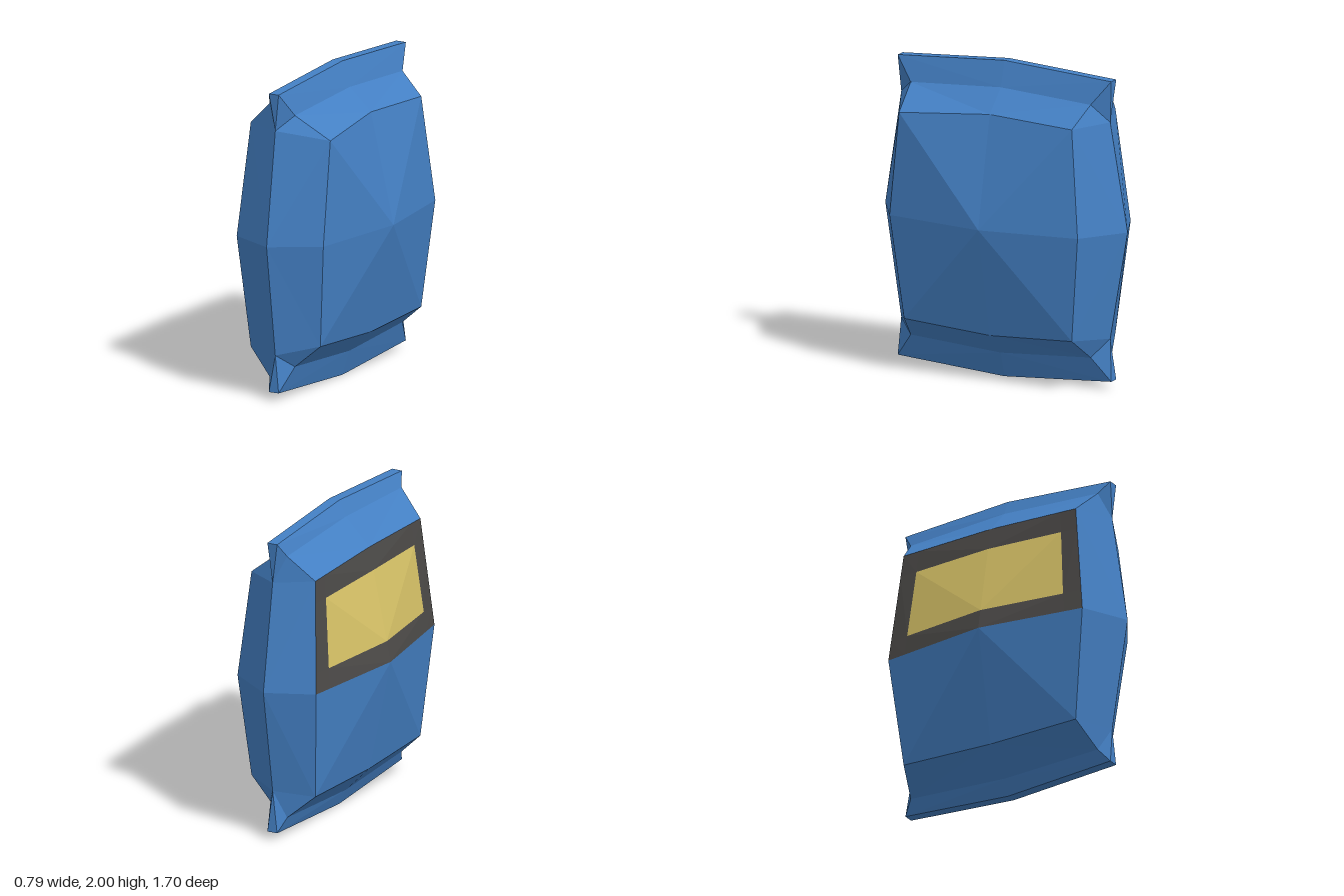
import * as THREE from 'three';

const vec = (x, y, z) => new THREE.Vector3(x, y, z);

// A ring runs: front tip, left front, left middle, left back,
// back tip, right back, right middle, right front.
function makeRing(frontTip, left, backTip, right) {
  return [frontTip, ...left, backTip, ...right];
}

// Widest line around the middle of the pouch
const waist = makeRing(
  vec(-0.03, 1, 0.85), [vec(0.27, 1, 0.67), vec(0.39, 1, 0), vec(0.32, 1, -0.65)],
  vec(0.03, 1, -0.85), [vec(-0.27, 1, -0.72), vec(-0.4, 1, 0), vec(-0.325, 1, 0.7)],
);

// Shoulder where the broad faces turn in towards the seal
const frontTip = vec(-0.03, 1.715, 0.74);
const backTip = vec(0.03, 1.685, -0.73);
const shoulder = makeRing(
  frontTip, [vec(0.28, 1.66, 0.6), vec(0.23, 1.7, 0), vec(0.26, 1.67, -0.58)],
  backTip, [vec(-0.22, 1.71, -0.64), vec(-0.25, 1.73, 0), vec(-0.27, 1.715, 0.62)],
);

// Foot of the seal; its ends fold down to the shoulder tips
const sealBase = makeRing(
  frontTip, [vec(0.05, 1.8, 0.635), vec(0.08, 1.84, 0), vec(0.1, 1.8, -0.63)],
  backTip, [vec(-0.05, 1.86, -0.69), vec(-0.085, 1.9, 0), vec(-0.105, 1.87, 0.68)],
);

// Outer edge of the seal: a narrow strip, slightly twisted and raised in the middle
const sealSide = (offset) => [
  vec(-0.035 + offset, 1.95, 0.75), vec(-0.005 + offset, 2, 0), vec(0.022 + offset, 1.95, -0.75),
];
const sealEdge = makeRing(
  vec(-0.035, 1.95, 0.75), sealSide(0.034),
  vec(0.022, 1.95, -0.75), sealSide(-0.034).reverse(),
);

// The lower half mirrors the upper half, with one corner pinched in
const mirrorRing = (ring) => ring.map((p) => vec(p.x, 2 - p.y, p.z));
const lowerShoulder = mirrorRing(shoulder);
lowerShoulder[1].x = 0.21;
const RINGS = [sealEdge, sealBase, shoulder, waist,
  lowerShoulder, mirrorRing(sealBase), mirrorRing(sealEdge)];

// a, b are the upper corners and c, d the lower ones, seen from outside
function addQuad(list, a, b, c, d, diagonalBD) {
  const tris = diagonalBD ? [[a, d, b], [b, d, c]] : [[a, d, c], [a, c, b]];
  for (const [p, q, r] of tris) {
    const area = q.clone().sub(p).cross(r.clone().sub(p)).length();
    if (area > 1e-6) list.push(p, q, r);
  }
}

function makeMesh(name, points, material) {
  const geometry = new THREE.BufferGeometry().setFromPoints(points);
  geometry.computeVertexNormals();
  const mesh = new THREE.Mesh(geometry, material);
  mesh.name = name;
  return mesh;
}

export function createModel() {
  const blue = new THREE.MeshStandardMaterial({ color: 0x4480c4 });
  const charcoal = new THREE.MeshStandardMaterial({ color: 0x4c4a48 });
  const yellow = new THREE.MeshStandardMaterial({ color: 0xd9c468 });
  blue.name = 'blue foil';
  charcoal.name = 'charcoal border';
  yellow.name = 'yellow panel';

  const pouch = [], seals = [], border = [], panel = [];

  // Border and panel share one bilinear patch, cut into cells
  function addPanelPatch([a, b, c, d], us, panelColumn, diagonalBD) {
    const vs = [0, 0.2, 0.82, 1];
    const at = (u, v) => a.clone().lerp(b, u).lerp(d.clone().lerp(c, u), v);
    for (let i = 0; i < 2; i++) {
      for (let k = 0; k < 3; k++) {
        const list = i === panelColumn && k === 1 ? panel : border;
        addQuad(list, at(us[i], vs[k]), at(us[i + 1], vs[k]),
          at(us[i + 1], vs[k + 1]), at(us[i], vs[k + 1]), diagonalBD);
      }
    }
  }

  // Skin between neighbouring rings
  for (let i = 0; i < 6; i++) {
    for (let j = 0; j < 8; j++) {
      const n = (j + 1) % 8;
      const corners = [RINGS[i][j], RINGS[i][n], RINGS[i + 1][n], RINGS[i + 1][j]];
      const diagonalBD = (j % 2 === 0) !== (i >= 3);
      if (i === 2 && j === 5) addPanelPatch(corners, [0, 0.18, 1], 1, diagonalBD);
      else if (i === 2 && j === 6) addPanelPatch(corners, [0, 0.82, 1], 0, diagonalBD);
      else addQuad(i === 0 || i === 5 ? seals : pouch, ...corners, diagonalBD);
    }
  }

  // Narrow edges closing the two seals
  const top = RINGS[0], bottom = RINGS[6];
  for (const [p, q, r, s] of [[1, 2, 6, 7], [2, 3, 5, 6]]) {
    addQuad(seals, top[s], top[r], top[q], top[p], true);
    addQuad(seals, bottom[p], bottom[q], bottom[r], bottom[s], true);
  }

  const group = new THREE.Group();
  group.name = 'snackBag';
  group.add(
    makeMesh('pouch', pouch, blue),
    makeMesh('crimpedSeals', seals, blue),
    makeMesh('labelBorder', border, charcoal),
    makeMesh('labelPanel', panel, yellow),
  );
  return group;
}
